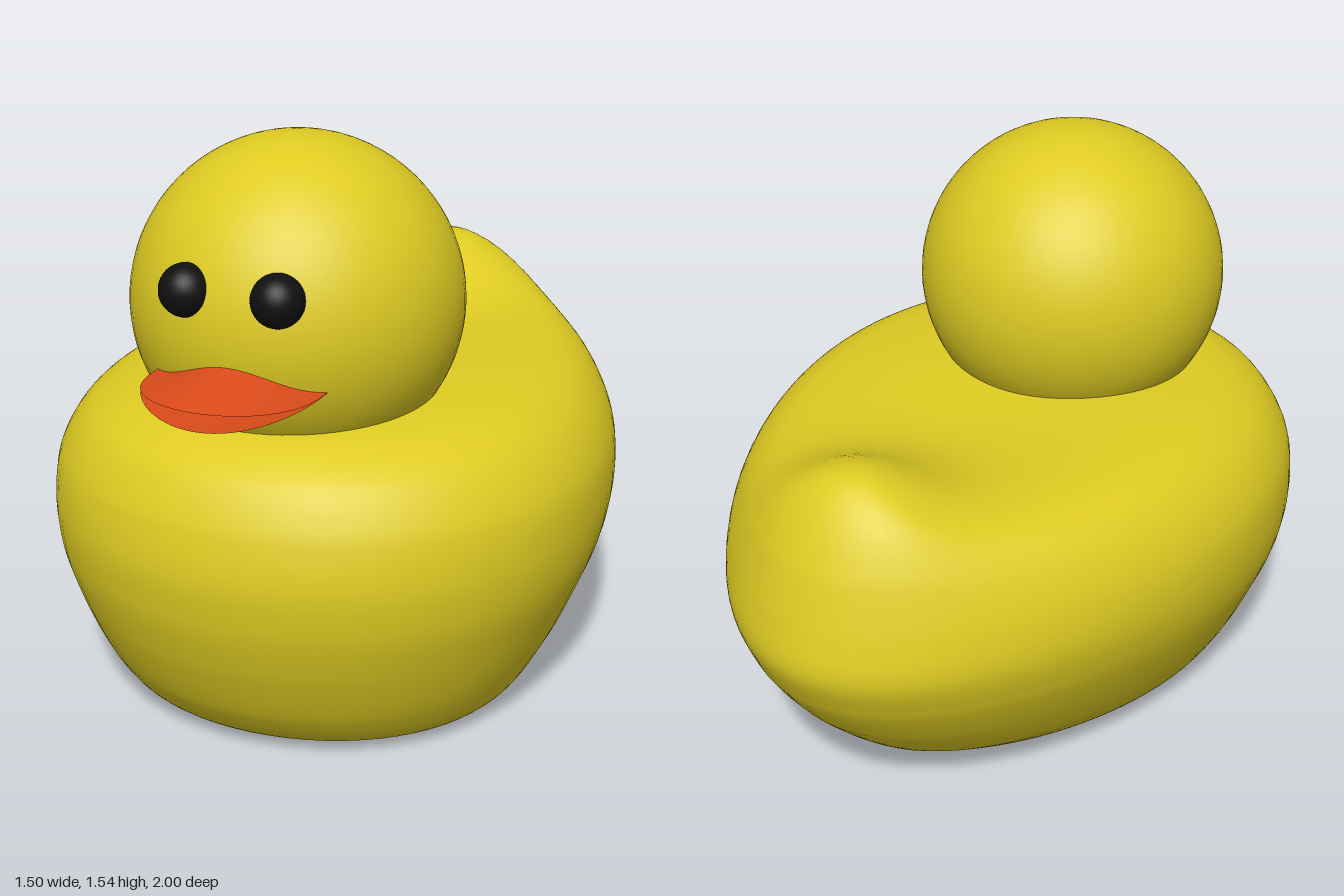
import * as THREE from 'three';
import { ParametricGeometry } from 'three/addons/geometries/ParametricGeometry.js';
import { mergeVertices } from 'three/addons/utils/BufferGeometryUtils.js';

const mat = (color, side = THREE.FrontSide) =>
  new THREE.MeshStandardMaterial({ color, side, roughness: 0.6 });

function addMesh(parent, name, geometry, material, x = 0, y = 0, z = 0) {
  const mesh = new THREE.Mesh(geometry, material);
  mesh.name = name;
  mesh.position.set(x, y, z);
  parent.add(mesh);
  return mesh;
}

// Smooth surface from a rule, welded so seams and poles shade evenly
function surface(rule, slices, stacks) {
  let g = new ParametricGeometry(rule, slices, stacks);
  g.deleteAttribute('uv');
  g.deleteAttribute('normal');
  g = mergeVertices(g, 1e-5);
  g.computeVertexNormals();
  return g;
}

// Body levels from the flat base to the back: height, half width, front z, rear z
const LEVELS = [
  [0, 0, 0.15, 0.15],
  [0, 0.25, 0.45, -0.15],
  [0.002, 0.46, 0.68, -0.38],
  [0.03, 0.545, 0.775, -0.53],
  [0.13, 0.615, 0.86, -0.70],
  [0.28, 0.685, 0.93, -0.85],
  [0.42, 0.735, 0.97, -0.95],
  [0.55, 0.75, 0.98, -1.0],
  [0.67, 0.735, 0.955, -0.975],
  [0.78, 0.67, 0.895, -0.93],
  [0.845, 0.575, 0.79, -0.87],
  [0.875, 0.42, 0.62, -0.77],
  [0.885, 0.25, 0.42, -0.50],
  [0.885, 0, 0, 0],
];

function bodyGeometry() {
  const sides = new THREE.CatmullRomCurve3(LEVELS.map(l => new THREE.Vector3(l[1], l[0], 0)));
  const ends = new THREE.CatmullRomCurve3(LEVELS.map(l => new THREE.Vector3(l[2], l[3], 0)));
  const gauss = (x, z) => Math.exp(-x * x - z * z);
  return surface((u, v, target) => {
    const a = u * Math.PI * 2;
    const s = sides.getPoint(v), e = ends.getPoint(v);
    // Egg-shaped outline, narrower at the rear
    const x = s.x * Math.sin(a) * (1 + 0.2 * Math.cos(a)) / 1.02;
    const z = (e.x + e.y) / 2 + (e.x - e.y) / 2 * Math.cos(a);
    // Raised tail and a shallow hollow in front of it
    const top = THREE.MathUtils.smoothstep(s.y, 0.62, 0.87);
    const tail = 0.135 * gauss(x / 0.24, (z + 0.74) / (z > -0.74 ? 0.23 : 0.16));
    const hollow = 0.028 * gauss(x / 0.3, (z + 0.22) / 0.25);
    target.set(x, s.y + top * (tail - hollow), z);
  }, 80, 91);
}

// One face of a beak half; height(t, v) has t across (-1..1) and v from root to rim
function beakFace(height, flip) {
  return surface((u, v, target) => {
    const a = (u - 0.5) * Math.PI * flip;
    const t = Math.sin(a);
    const rim = 0.76 + 0.235 * Math.pow(Math.max(Math.cos(a), 0), 0.8);
    target.set(0.23 * t, height(t, v), 0.7 + v * (rim - 0.7));
  }, 32, 14);
}

export function createModel() {
  const model = new THREE.Group();
  model.name = 'bathDuck';
  const yellow = mat(0xdecb22);
  const orange = mat(0xd84a1a, THREE.DoubleSide);
  const black = mat(0x101010);

  addMesh(model, 'body', bodyGeometry(), yellow);

  // Head group sits slightly off the centre line
  const head = new THREE.Group();
  head.name = 'headGroup';
  head.position.x = -0.017;
  model.add(head);
  addMesh(head, 'head', new THREE.SphereGeometry(0.435, 64, 40), yellow, 0, 1.105, 0.395);

  for (const [name, side] of [['leftEye', 1], ['rightEye', -1]]) {
    addMesh(head, name, new THREE.SphereGeometry(0.067, 32, 20), black, side * 0.122, 1.22, 0.79);
  }

  // Beak: domed upper half with a flat underside, and a curved thin lower half
  const dome = t => (1 + Math.cos(Math.PI * t)) / 2;
  const upper = new THREE.Group();
  upper.name = 'upperBeak';
  addMesh(upper, 'upperBeakTop', beakFace((t, v) => 0.99 + 0.1 * dome(t) * (1 - v), -1), orange);
  addMesh(upper, 'upperBeakUnderside', beakFace(() => 0.99, 1), orange);

  const lower = new THREE.Group();
  lower.name = 'lowerBeak';
  const smile = t => 0.943 + 0.045 * t * t;
  addMesh(lower, 'lowerBeakTop', beakFace((t, v) => smile(t) + 0.014 * (1 - t * t) * (1 - v), -1), orange);
  addMesh(lower, 'lowerBeakUnderside', beakFace(smile, 1), orange);
  head.add(upper, lower);

  return model;
}
